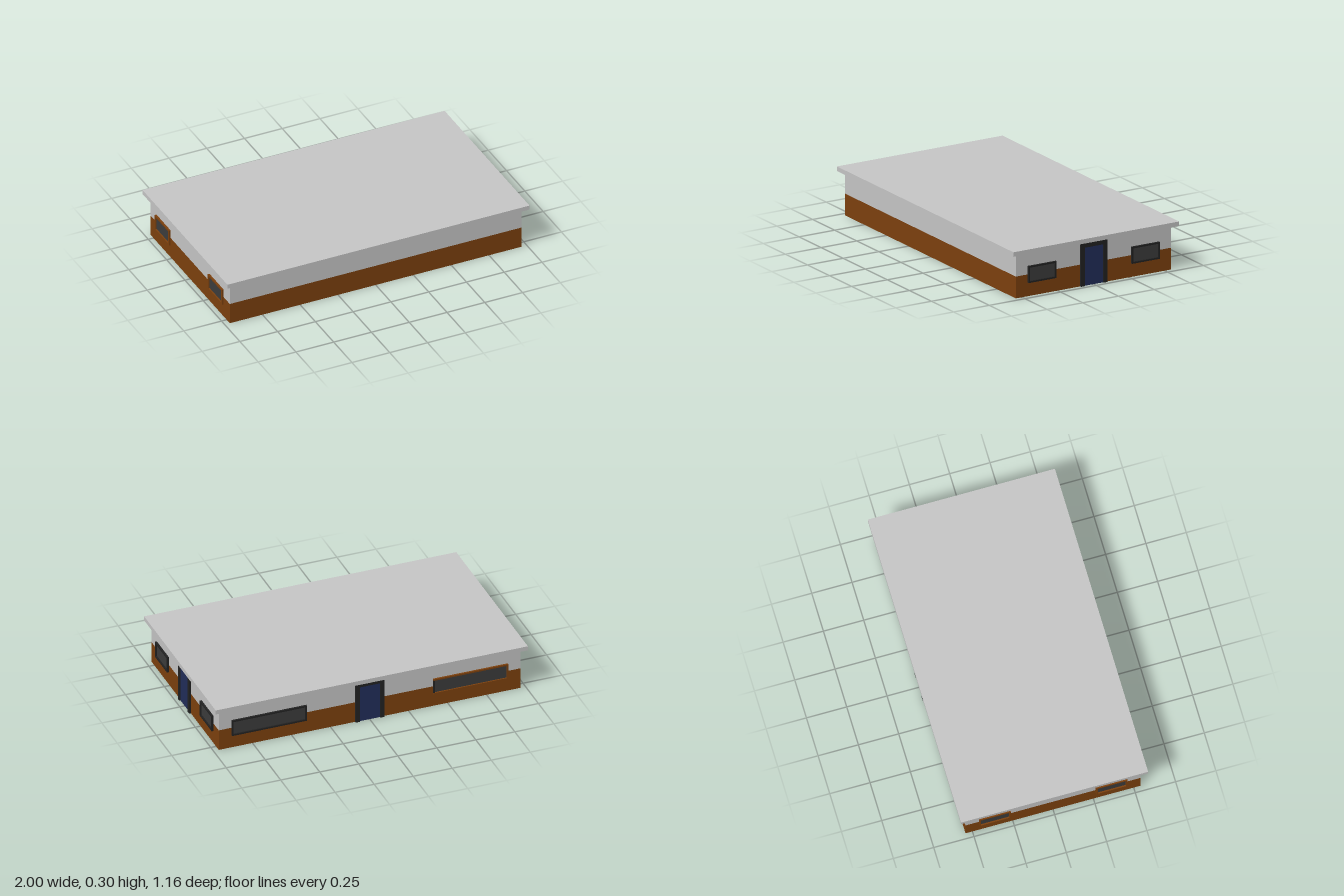
import * as THREE from 'three';

const HX = 0.966, HZ = 0.543;            // half sizes of the wall shell
const BAND = 0.136, EAVE = 0.275, TOP = 0.303;

export function createModel() {
  const mat = (name, color, side = THREE.FrontSide) => {
    const m = new THREE.MeshStandardMaterial({ color, side });
    m.name = name;
    return m;
  };
  const pale = mat('paleGrey', 0xc6c6c6, THREE.DoubleSide);
  const brown = mat('brown', 0x7d410e, THREE.DoubleSide);
  const dark = mat('darkFrame', 0x222222);
  const glass = mat('smokedGlass', 0x3c3c3c);
  const blue = mat('doorBlue', 0x212d5a);

  const model = new THREE.Group();
  model.name = 'building';

  const box = (parent, name, material, w, h, d, x, y, z) => {
    const mesh = new THREE.Mesh(new THREE.BoxGeometry(w, h, d), material);
    mesh.name = name;
    mesh.position.set(x, y, z);
    parent.add(mesh);
  };

  // One group per side: local +z points out of the wall, local z = 0 is its face
  const makeSide = (name, angle, dist, halfWidth) => {
    const side = new THREE.Group();
    side.name = name;
    side.rotation.y = angle;
    side.position.set(Math.sin(angle) * dist, 0, Math.cos(angle) * dist);
    model.add(side);
    for (const [part, material, y0, y1] of [['lowerWall', brown, 0, BAND], ['upperWall', pale, BAND, EAVE]]) {
      const wall = new THREE.Mesh(new THREE.PlaneGeometry(halfWidth * 2, y1 - y0), material);
      wall.name = part;
      wall.position.y = (y0 + y1) / 2;
      side.add(wall);
    }
    return side;
  };

  // Framed window passing through the wall; each frame bar has its own colour
  const addWindow = (side, x, w, bars, nearEnd = bars, farEnd = bars) => {
    const g = new THREE.Group();
    g.name = 'window';
    g.position.set(x, 0.137, 0);
    side.add(g);
    const h = 0.105, t = 0.01, d = 0.024;
    box(g, 'pane', glass, w - t, h - t, 0.006, 0, 0, 0);
    box(g, 'frameTop', bars, w, t, d, 0, (h - t) / 2, 0);
    box(g, 'frameBottom', bars, w, t, d, 0, -(h - t) / 2, 0);
    box(g, 'frameLeft', nearEnd, t, h - 2 * t, d, -(w - t) / 2, 0, 0);
    box(g, 'frameRight', farEnd, t, h - 2 * t, d, (w - t) / 2, 0, 0);
  };

  // Door leaf set back between two jambs and a lintel
  const addDoor = (side) => {
    const g = new THREE.Group();
    g.name = 'door';
    side.add(g);
    const d = 0.022, leafH = 0.24;
    box(g, 'doorLeaf', blue, 0.134, leafH, 0.006, 0, leafH / 2, 0);
    for (const s of [-1, 1]) box(g, 'doorJamb', dark, 0.026, EAVE, d, s * 0.079, EAVE / 2, 0);
    box(g, 'doorLintel', dark, 0.132, EAVE - leafH, d, 0, (EAVE + leafH) / 2, 0);
  };

  makeSide('frontWall', 0, HZ, HX);
  const back = makeSide('backWall', Math.PI, HZ, HX);
  const left = makeSide('leftWall', Math.PI / 2, HX, HZ);
  const right = makeSide('rightWall', -Math.PI / 2, HX, HZ);

  addDoor(left);
  addDoor(back);
  for (const s of [-1, 1]) {
    addWindow(left, s * 0.362, 0.195, dark);
    addWindow(right, s * 0.362, 0.195, brown);
  }
  addWindow(back, -0.645, 0.48, dark);
  addWindow(back, 0.645, 0.48, brown, dark);

  // Flat overhanging roof slab
  box(model, 'roof', pale, 2, TOP - EAVE, 1.16, 0, (TOP + EAVE) / 2, 0);
  return model;
}
